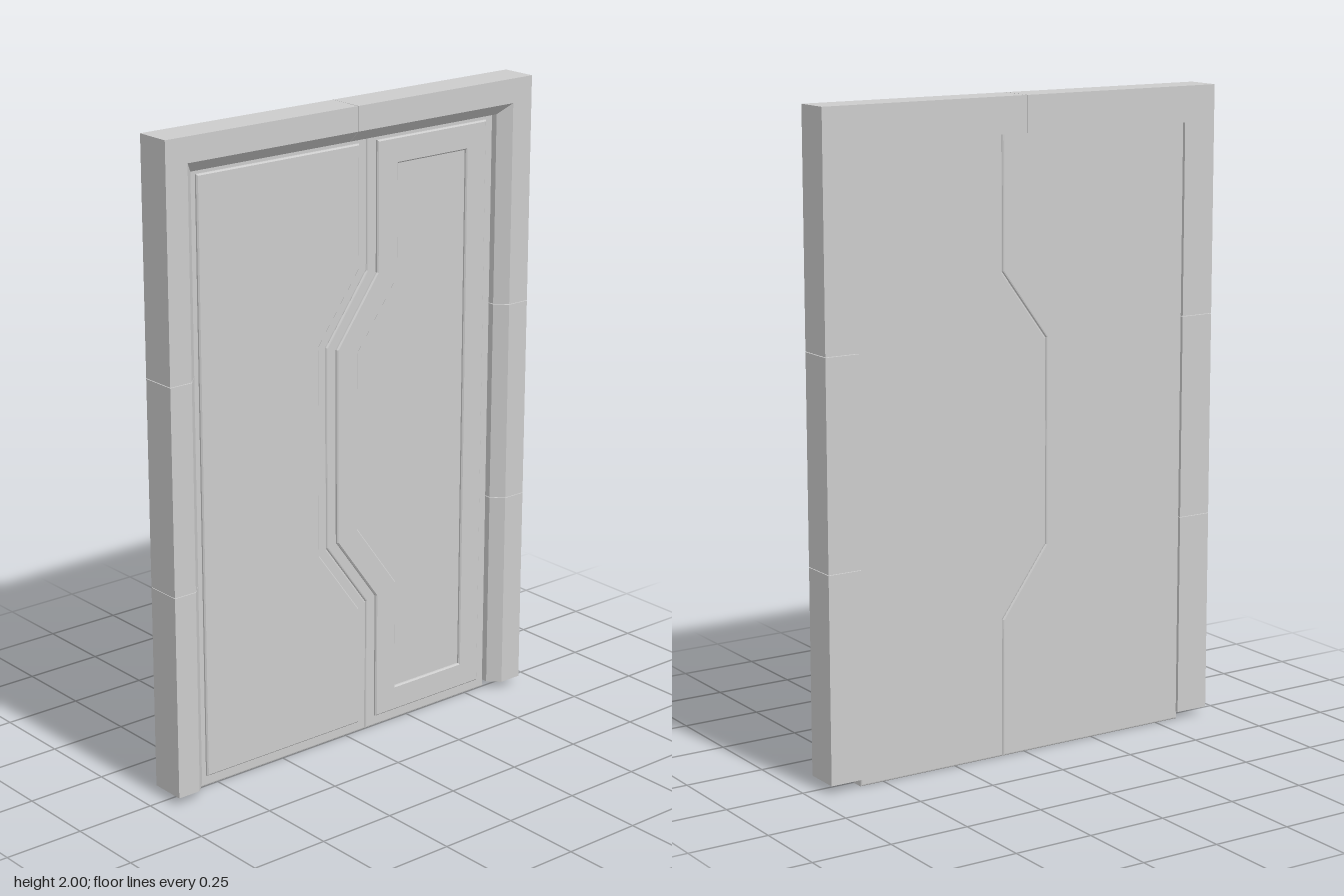
import * as THREE from 'three';

const material = new THREE.MeshStandardMaterial({ color: 0xcccccc, flatShading: true });

// Opening, frame and leaf sizes
const OPEN = 0.575, OUTER = 0.685, HEAD = 1.89, TOP = 2, FOOT = 0.025;
const BACK = -0.057, FACE = 0.057, CHAMFER = 0.035;
const LEAF_EDGE = 0.58, LEAF_TOP = 1.91;

// Kinked joint between the two leaves, from top to bottom; the last value is
// how the kink height moves when the line is offset sideways
const KINKS = [[0.08, 1.487, 1], [-0.075, 1.277, 1], [-0.075, 0.643, -1], [0.08, 0.43, -1]];
const KINK_SHIFT = 0.33;

function addMesh(parent, name, geometry) {
  const mesh = new THREE.Mesh(geometry, material);
  mesh.name = name;
  parent.add(mesh);
  return mesh;
}

// One length of frame: chamfered section, with "outward" pointing away from the opening
function frameSection(outward, length, centre) {
  const width = OUTER - OPEN;
  const profile = new THREE.Shape([
    [0, BACK], [width, BACK], [width, FACE], [CHAMFER, FACE], [0, FACE - CHAMFER],
  ].map(([a, b]) => new THREE.Vector2(a, b)));
  const geometry = new THREE.ExtrudeGeometry(profile, { depth: length, bevelEnabled: false });
  geometry.translate(0, 0, -length / 2);
  const forward = new THREE.Vector3(0, 0, 1);
  const along = outward.clone().cross(forward);
  geometry.applyMatrix4(new THREE.Matrix4().makeBasis(outward, forward, along));
  return geometry.translate(...centre);
}

// Leaf outline shrunk by an inset; side is -1 or 1
function leafOutline(side, inset) {
  const edge = side * (LEAF_EDGE - inset);
  const low = inset, high = LEAF_TOP - inset;
  const seam = KINKS.map(([x, y, k]) =>
    new THREE.Vector2(x + side * inset, y - side * k * inset * KINK_SHIFT));
  return [
    new THREE.Vector2(edge, high),
    new THREE.Vector2(seam[0].x, high),
    ...seam,
    new THREE.Vector2(seam[3].x, low),
    new THREE.Vector2(edge, low),
  ];
}

// Bevelled slab between two depths, keeping its outline at nominal size
function slab(shape, back, front, bevel, segments) {
  const geometry = new THREE.ExtrudeGeometry(shape, {
    depth: front - back - 2 * bevel,
    bevelSize: bevel, bevelThickness: bevel, bevelOffset: -bevel, bevelSegments: segments,
  });
  return geometry.translate(0, 0, back + bevel);
}

function createLeaf(side) {
  const leaf = new THREE.Group();
  leaf.name = side < 0 ? 'leftDoorLeaf' : 'rightDoorLeaf';
  addMesh(leaf, 'leafBody', slab(new THREE.Shape(leafOutline(side, 0)), -0.047, 0.002, 0.006, 3));

  // Raised border surrounding a sunken centre panel
  const border = new THREE.Shape(leafOutline(side, 0.035));
  border.holes.push(new THREE.Path(leafOutline(side, 0.115)));
  addMesh(leaf, 'raisedBorder', slab(border, -0.01, 0.011, 0.004, 1));
  return leaf;
}

export function createModel() {
  const model = new THREE.Group();
  model.name = 'slidingDoor';
  const door = new THREE.Group();
  door.name = 'doorAssembly';
  door.rotation.y = Math.PI / 2; // the door faces +x
  model.add(door);

  const gap = 0.002; // hairline joints between frame sections
  const joints = [FOOT, 0.66, 1.295, HEAD + CHAMFER];
  for (const side of [-1, 1]) {
    // Jamb in three stacked sections
    const jamb = new THREE.Group();
    jamb.name = side < 0 ? 'leftJamb' : 'rightJamb';
    for (let i = 0; i < 3; i++) {
      const low = joints[i] + (i > 0 ? gap / 2 : 0);
      const high = joints[i + 1] - (i < 2 ? gap / 2 : 0);
      addMesh(jamb, 'jambSection',
        frameSection(new THREE.Vector3(side, 0, 0), high - low, [side * OPEN, (low + high) / 2, 0]));
    }
    door.add(jamb);

    // Half of the lintel
    addMesh(door, 'lintelHalf',
      frameSection(new THREE.Vector3(0, 1, 0), OUTER - gap / 2, [side * (OUTER + gap / 2) / 2, HEAD, 0]));

    door.add(createLeaf(side));
  }
  return model;
}
